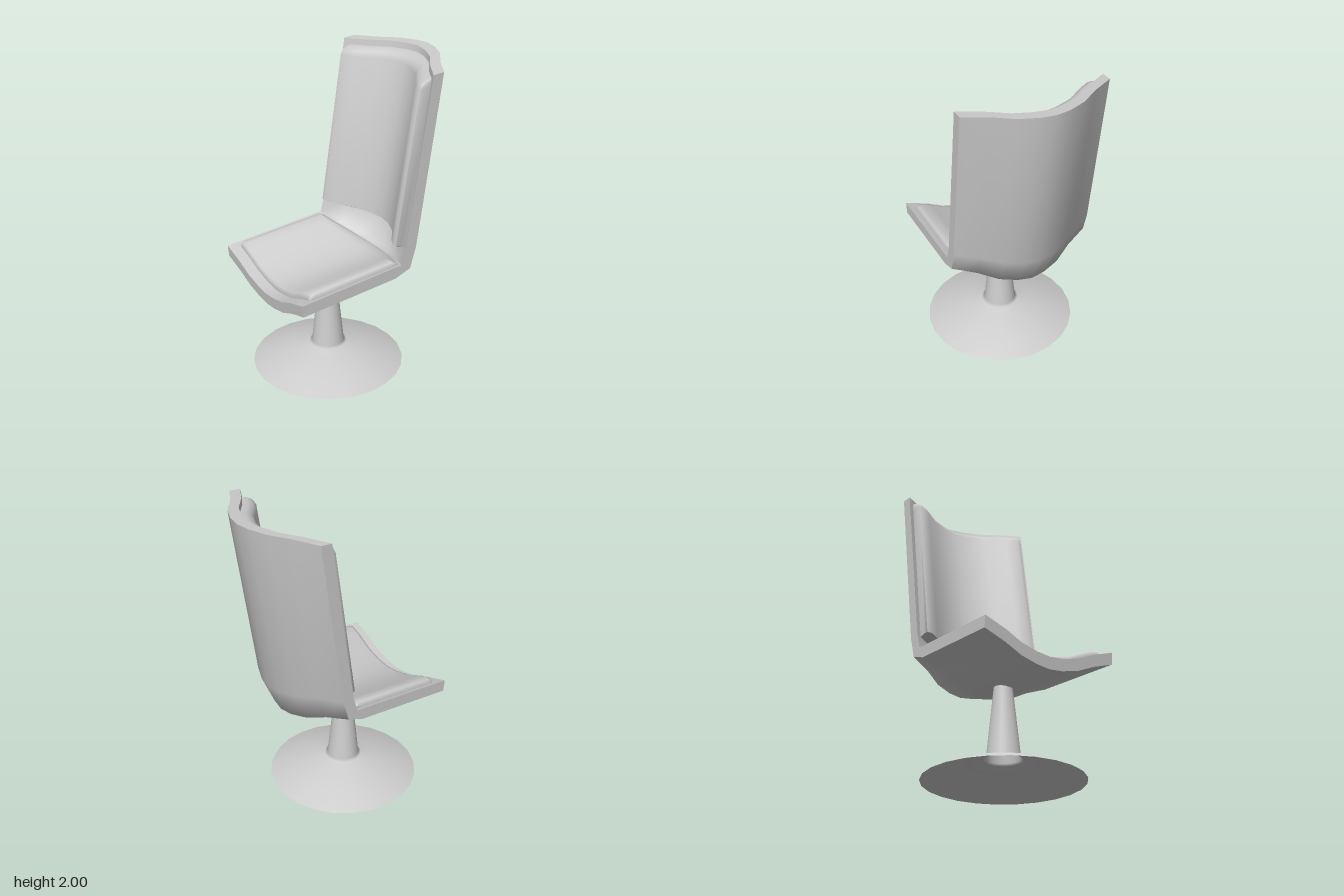
import * as THREE from 'three';
import { toCreasedNormals } from 'three/addons/utils/BufferGeometryUtils.js';

// Stations along the chair from seat front to back top:
// outer centre point (x, y) and the vector from there to the outer side edge
const STATIONS = [
  { c: [-0.57, 0.545], d: [-0.013, 0.135] },
  { c: [0.08, 0.58], d: [-0.012, 0.155] },
  { c: [0.355, 0.67], d: [-0.18, 0.105] },
  { c: [0.45, 0.88], d: [-0.235, 0.03] },
  { c: [0.61, 2.0], d: [-0.235, -0.022] },
];

// Hollow of the shell: half width -> share of the edge depth
const HOLLOW = [[0, 0], [0.09, 0.07], [0.2, 0.27], [0.315, 0.65], [0.455, 1]];

function hollowAt(z) {
  const w = Math.abs(z);
  let i = 0;
  while (i < HOLLOW.length - 2 && w > HOLLOW[i + 1][0]) i++;
  const [z0, f0] = HOLLOW[i];
  const [z1, f1] = HOLLOW[i + 1];
  return f0 + ((f1 - f0) * (w - z0)) / (z1 - z0);
}

// Point on the curved shell at station s, width z, raised by lift from the outer skin
function pointAt(s, z, lift) {
  const i = Math.min(Math.floor(s), STATIONS.length - 2);
  const a = STATIONS[i];
  const b = STATIONS[i + 1];
  const mix = (key, k) => THREE.MathUtils.lerp(a[key][k], b[key][k], s - i);
  const dx = mix('d', 0);
  const dy = mix('d', 1);
  const m = hollowAt(z) + lift / Math.hypot(dx, dy);
  return [mix('c', 0) + dx * m, mix('c', 1) + dy * m, z + 0.007];
}

// Closed slab following the shell. rings: [station, height share, inset];
// columns: [z, height share]; lifts run from low to high
function slab(rings, columns, low, high) {
  const pos = [];
  const index = [];
  const w = columns.length;
  const n = 2 * w;
  for (const [s, share, inset = 0] of rings) {
    const k = 1 - inset;
    for (const [z] of columns) pos.push(...pointAt(s, z * k, low));
    for (const [z, h] of [...columns].reverse()) {
      pos.push(...pointAt(s, z * k, low + (high - low) * h * share));
    }
  }
  const quad = (a, b, c, d) => index.push(a, c, b, b, c, d);
  for (let i = 0; i < rings.length - 1; i++) {
    for (let j = 0; j < n; j++) {
      const j2 = (j + 1) % n;
      quad(i * n + j, i * n + j2, (i + 1) * n + j, (i + 1) * n + j2);
    }
  }
  // end faces
  const last = (rings.length - 1) * n;
  for (let j = 0; j < w - 1; j++) {
    const t = n - 1 - j;
    quad(j, t, j + 1, t - 1);
    quad(last + j, last + j + 1, last + t, last + t - 1);
  }
  const geo = new THREE.BufferGeometry();
  geo.setAttribute('position', new THREE.Float32BufferAttribute(pos, 3));
  geo.setIndex(index);
  return toCreasedNormals(geo, 1.0);
}

// Mirrors a list of [half width, height share] into a full row of columns
function mirrored(half) {
  return [...half.map(([z, h]) => [-z, h]), [0, 1], ...[...half].reverse()];
}

export function createModel() {
  const group = new THREE.Group();
  const material = new THREE.MeshStandardMaterial({ color: 0xcccccc, side: THREE.DoubleSide });
  const add = (name, geometry) => {
    const mesh = new THREE.Mesh(geometry, material);
    mesh.name = name;
    group.add(mesh);
    return mesh;
  };

  // One-piece seat and back shell
  const shellColumns = mirrored([[0.455, 1], [0.315, 1], [0.2, 1], [0.09, 1]]);
  add('shell', slab([[0, 1], [1, 1], [2, 1], [3, 1], [4, 1]], shellColumns, 0, 0.075));

  // Padding with rounded borders
  const padColumns = mirrored([[0.42, 0.5], [0.41, 0.8], [0.38, 1], [0.315, 1], [0.2, 1], [0.09, 1]]);
  add('seatCushion', slab(
    [[0.11, 0.5, 0.01], [0.125, 0.85], [0.16, 1], [1, 1], [1.5, 1], [1.75, 0.9], [1.85, 0.5]],
    padColumns, 0.065, 0.12));
  add('backCushion', slab(
    [[2.95, 0.5, 0.01], [2.965, 0.85], [3, 1], [3.92, 1], [3.95, 0.85], [3.965, 0.5, 0.01]],
    padColumns, 0.065, 0.165));

  // Pedestal: flared foot with tapered stem, open underneath
  const profile = [[0.485, 0], [0.35, 0.06], [0.21, 0.105], [0.12, 0.128], [0.103, 0.14], [0.056, 0.59]]
    .map(([r, y]) => new THREE.Vector2(r, y));
  add('pedestal', new THREE.LatheGeometry(profile, 24)).position.x = -0.125;

  return group;
}
